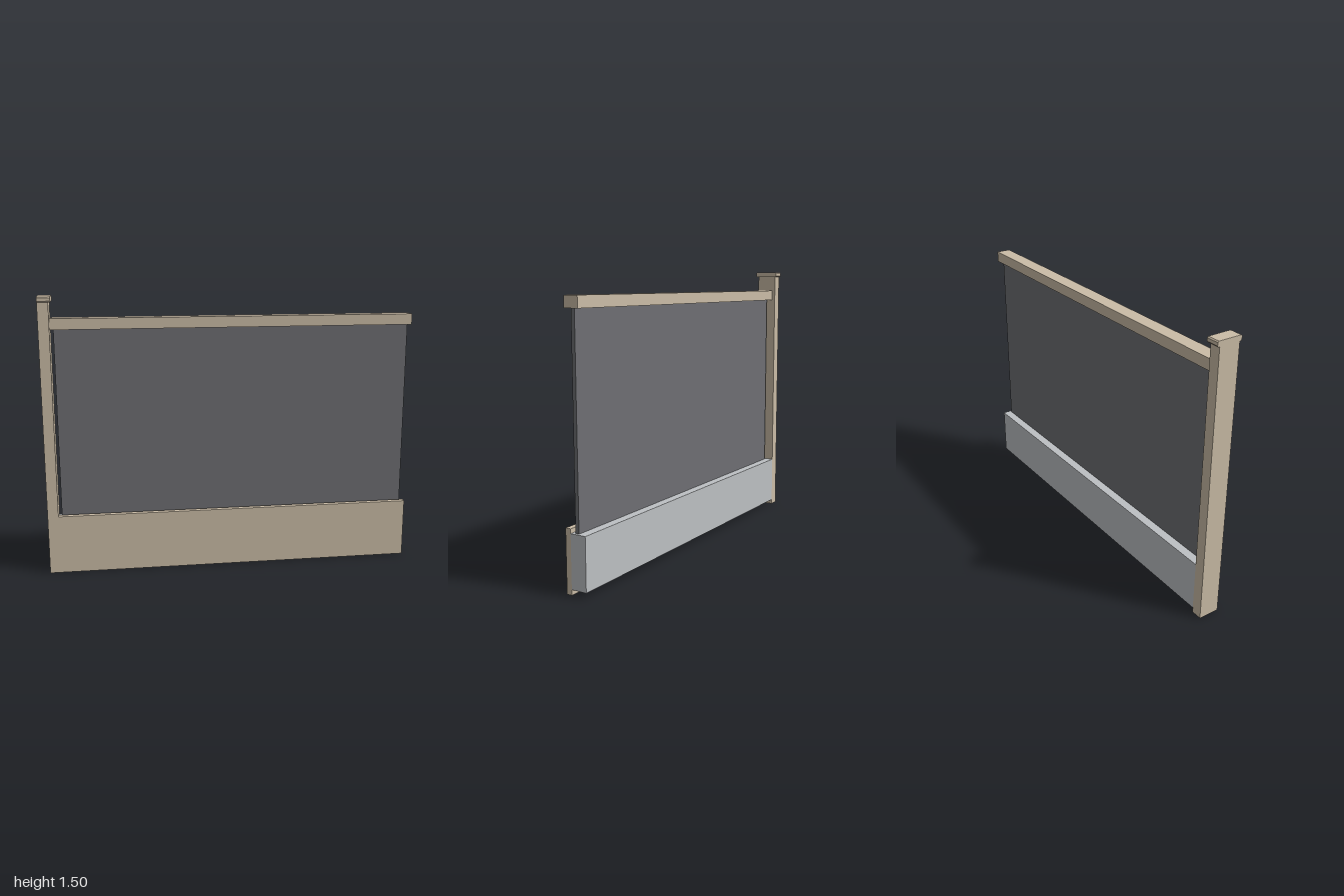
import * as THREE from 'three';

const material = (name, color) => {
  const m = new THREE.MeshStandardMaterial({ color });
  m.name = name;
  return m;
};

export function createModel() {
  const tan = material('tan', 0xcbbda7);
  const darkGrey = material('dark grey', 0x6e6f73);
  const lightGrey = material('light grey', 0xbdc0c3);
  const group = new THREE.Group();
  group.name = 'fencePanel';

  // Box given by its limits on each axis
  const slab = (name, mat, [x0, x1], [y0, y1], [z0, z1]) => {
    const mesh = new THREE.Mesh(new THREE.BoxGeometry(x1 - x0, y1 - y0, z1 - z0), mat);
    mesh.position.set((x0 + x1) / 2, (y0 + y1) / 2, (z0 + z1) / 2);
    mesh.name = name;
    group.add(mesh);
  };

  const postEdge = -0.943;
  slab('post', tan, [-1, postEdge], [0, 1.47], [-0.057, 0.057]);
  slab('topRail', tan, [postEdge, 1], [1.325, 1.383], [-0.039, 0.039]);
  slab('screen', darkGrey, [-0.926, 0.986], [0.29, 1.33], [-0.01, 0.01]);
  slab('frontBoard', tan, [postEdge, 1], [0, 0.32], [0.028, 0.057]);
  slab('baseBeam', lightGrey, [postEdge, 1], [0.027, 0.297], [-0.057, 0.028]);

  // Post cap: eased-edge profile extruded across the post
  const w = 0.069, h = 0.028, c = 0.006;
  const profile = new THREE.Shape([
    [-w + c, 0], [w - c, 0], [w, c], [w, h - c],
    [w - c, h], [-w + c, h], [-w, h - c], [-w, c],
  ].map(([x, y]) => new THREE.Vector2(x, y)));
  const capGeometry = new THREE.ExtrudeGeometry(profile, { depth: 0.068, bevelEnabled: false });
  capGeometry.rotateY(Math.PI / 2);
  const cap = new THREE.Mesh(capGeometry, tan);
  cap.position.set(-1, 1.468, 0);
  cap.name = 'postCap';
  group.add(cap);

  return group;
}
